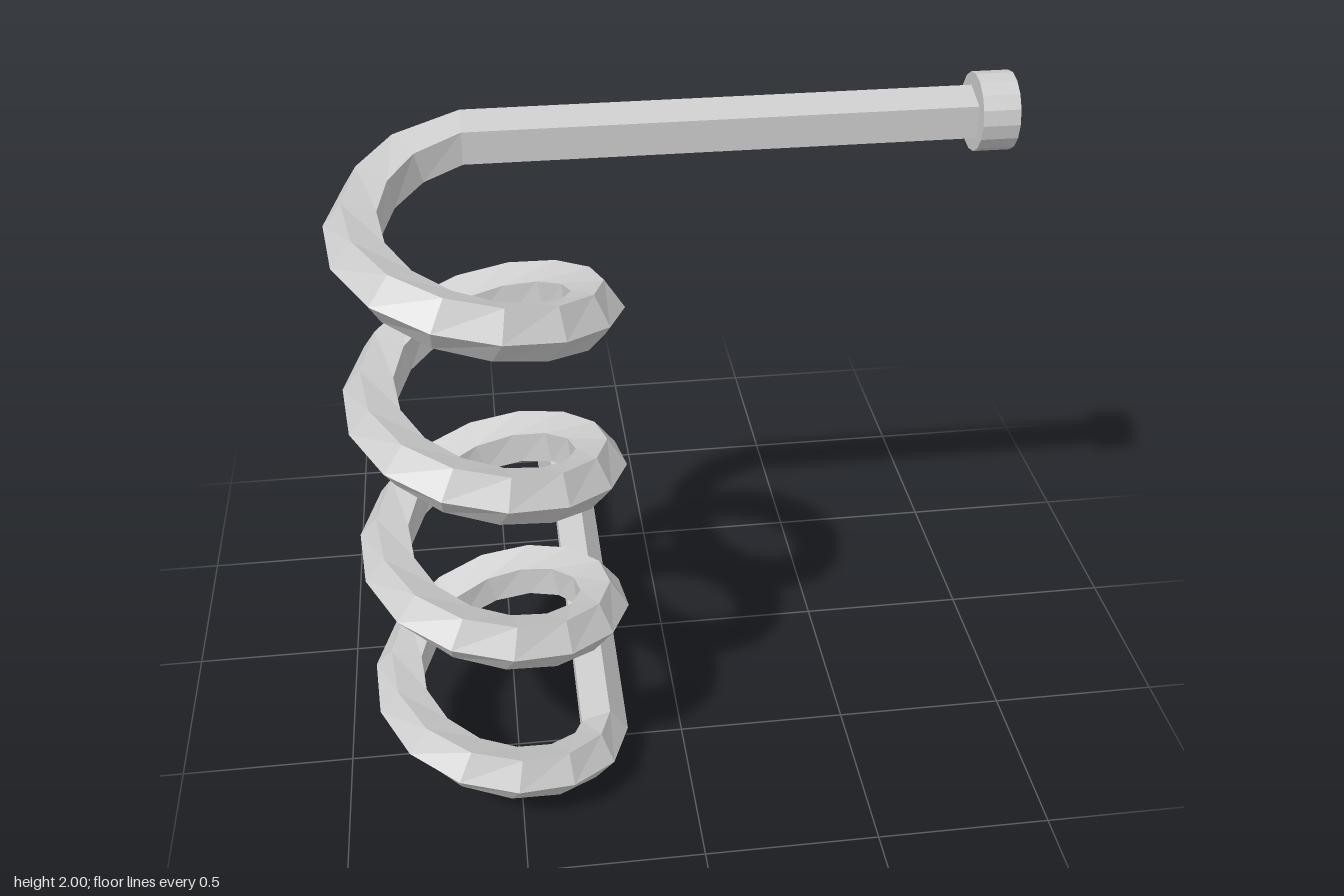
import * as THREE from 'three';

const material = new THREE.MeshStandardMaterial({ color: 0xcccccc, flatShading: true });

const SIDES = 5;            // pentagonal wire
const WIRE = 0.0755;        // wire radius
const CX = -0.533, CZ = 0.54, R = 0.294;   // coil axis and mean radius
const Y0 = 0.095, PITCH = 0.4815;
const STEPS = 52;
const A0 = THREE.MathUtils.degToRad(9.6);
const A1 = THREE.MathUtils.degToRad(1342);

const v = (x, y, z) => new THREE.Vector3(x, y, z);

// One cross-section: centre, outward direction, travel direction
function station(center, out, tangent) {
  return { center, out, up: tangent.clone().cross(out).normalize() };
}

function wireStations() {
  const list = [];
  // lower leg, running from the back to the coil
  list.push(station(v(-0.25, 0.113, -0.86), v(1, 0, 0), v(0, 0, 1)));
  list.push(station(v(-0.25, 0.113, 0.59), v(1, 0, 0), v(0, 0, 1)));
  // coil
  for (let i = 1; i < STEPS; i++) {
    const a = A0 + (A1 - A0) * i / STEPS;
    const c = Math.cos(a), s = Math.sin(a);
    const turn = a / (2 * Math.PI);
    list.push(station(
      v(CX + R * c, Y0 + PITCH * turn, CZ + R * s),
      v(c, 0, s),
      v(-R * s, PITCH / (2 * Math.PI), R * c)
    ));
  }
  // upper leg, running from the coil to the side
  list.push(station(v(-0.55, 1.887, 0.25), v(0, 0, -1), v(1, 0, 0)));
  list.push(station(v(0.84, 1.887, 0.25), v(0, 0, -1), v(1, 0, 0)));
  return list;
}

// Skin the cross-sections into one continuous wire
function wireGeometry() {
  const stations = wireStations();
  const positions = [], index = [];
  stations.forEach(({ center, out, up }, i) => {
    for (let j = 0; j < SIDES; j++) {
      const p = j / SIDES * Math.PI * 2;
      const q = center.clone()
        .addScaledVector(out, WIRE * Math.cos(p))
        .addScaledVector(up, WIRE * Math.sin(p));
      positions.push(q.x, q.y, q.z);
      if (i < stations.length - 1) {
        const k = (j + 1) % SIDES;
        const a = i * SIDES + j, b = i * SIDES + k;
        index.push(a, b, a + SIDES, b, b + SIDES, a + SIDES);
      }
    }
  });
  const g = new THREE.BufferGeometry();
  g.setAttribute('position', new THREE.Float32BufferAttribute(positions, 3));
  g.setIndex(index);
  g.computeVertexNormals();
  return g;
}

// Round cap closing the end of a leg
function endCap(name, length) {
  const cap = new THREE.Mesh(new THREE.CylinderGeometry(0.105, 0.105, length, 16), material);
  cap.name = name;
  return cap;
}

export function createModel() {
  const model = new THREE.Group();
  model.name = 'torsionSpring';

  const wire = new THREE.Mesh(wireGeometry(), material);
  wire.name = 'coiledWire';

  const lowerCap = endCap('lowerEndCap', 0.094);
  lowerCap.rotation.x = Math.PI / 2;
  lowerCap.position.set(-0.25, 0.105, -0.873);

  const upperCap = endCap('upperEndCap', 0.1);
  upperCap.rotation.z = Math.PI / 2;
  upperCap.position.set(0.85, 1.895, 0.255);

  model.add(wire, lowerCap, upperCap);
  return model;
}
